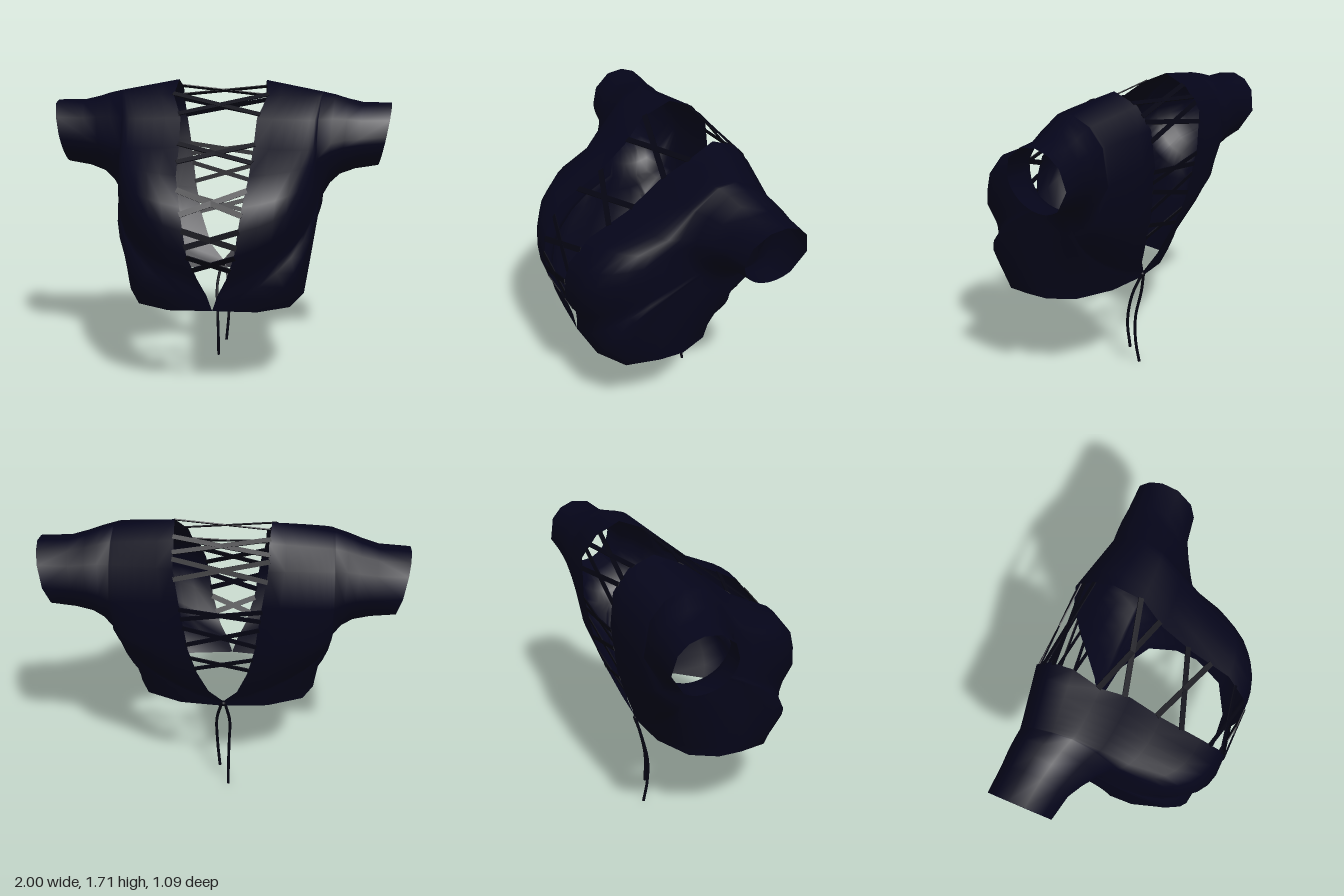
import * as THREE from 'three';

const cloth = new THREE.MeshStandardMaterial({ color: 0x05051a, side: THREE.DoubleSide });
cloth.name = 'navyCloth';
const cord = new THREE.MeshStandardMaterial({ color: 0x050512, side: THREE.DoubleSide });
cord.name = 'darkLace';

const V = (a) => new THREE.Vector3(...a);
const { lerp, clamp, smoothstep } = THREE.MathUtils;

// Left half: edges of the front opening, hem and back opening
const frontEdge = [
  [.26, 1.71, -.3], [.275, 1.635, -.14], [.22, 1.52, 0], [.21, 1.37, .18], [.2, 1.25, .41],
  [.17, 1.1, .52], [.15, .97, .545], [.13, .83, .535], [.08, .68, .455], [.03, .58, .43], [0, .49, .42],
].map(V);
const hem = [
  [.25, .483, .4], [.43, .49, .3], [.505, .525, .12], [.51, .53, -.02], [.45, .545, -.18], [.25, .556, -.29],
].map(V);
const backEdge = [
  [0, .56, -.32], [0, .6, -.335], [.08, .69, -.375], [.14, .85, -.44], [.18, 1.02, -.495],
  [.22, 1.32, -.54], [.25, 1.53, -.53], [.25, 1.65, -.44],
].map(V);
const outline = [...frontEdge, ...hem, ...backEdge];

// Sleeve rings from armhole to cuff: x top, x bottom, y top, y bottom, z back, z front,
// x shift at front, flattening of the upper front
const sleeveRings = [
  [.6, .605, 1.65, 1.04, -.5, .04, -.035, .1],
  [.67, .645, 1.632, 1.11, -.5, -.01, -.015, .07],
  [.74, .7, 1.608, 1.16, -.5, -.055, 0, .04],
  [.83, .79, 1.585, 1.19, -.495, -.1, 0, .01],
  [1, .925, 1.58, 1.21, -.495, -.125, 0, 0],
];
const angles = outline.map((p) => Math.atan2(p.z + .25, p.y - 1.36));

function ringPoint([xt, xb, yt, yb, zb, zf, shift, flat], angle) {
  const c = Math.cos(angle), s = Math.sin(angle);
  return new THREE.Vector3(
    (xt + xb) / 2 + c * (xt - xb) / 2 + shift * Math.max(0, s),
    (yt + yb) / 2 + c * (yt - yb) / 2,
    (zf + zb) / 2 + s * (zf - zb) / 2 - flat * Math.max(0, c) * Math.max(0, s));
}

// Body between the outline point p and the armhole point q: a squared-off
// quarter curve round the chest, straight over the shoulder and up the side
function bodyPoint(p, q, t) {
  const a = t * Math.PI / 2;
  const round = Math.sin(a) ** .84;
  const across = lerp(round, t, clamp((p.x - .27) / .22, 0, 1));
  const upper = smoothstep(p.y, 1.1, 1.4);
  const depth = lerp(1 - Math.cos(a) ** .84, across, p.z < -.2 ? upper : 0);
  const bust = .08 * clamp(p.z / .4, 0, 1) * clamp((1 - p.y) / .5, 0, 1) * Math.sin(t * Math.PI);
  return new THREE.Vector3(
    lerp(p.x, q.x, across),
    lerp(p.y, q.y, lerp(t, across, upper)),
    lerp(p.z, q.z, depth) + bust);
}

// Skin from the opening edge, round the body to the armhole, then out to the cuff
function halfTop(side) {
  const n = outline.length, steps = 8, rings = [];
  const armhole = angles.map((a) => ringPoint(sleeveRings[0], a));
  for (let k = 0; k < steps; k++) rings.push(outline.map((p, i) => bodyPoint(p, armhole[i], k / steps)));
  for (const r of sleeveRings) rings.push(angles.map((a) => ringPoint(r, a)));

  const pos = [], index = [];
  for (const ring of rings) for (const p of ring) pos.push(p.x * side, p.y, p.z);
  for (let k = 0; k < rings.length - 1; k++) {
    for (let i = 0; i < n; i++) {
      const j = (i + 1) % n;
      const a = k * n + i, b = k * n + j, c = a + n, d = b + n;
      if (side > 0) index.push(a, b, c, b, d, c);
      else index.push(a, c, b, b, c, d);
    }
  }
  const g = new THREE.BufferGeometry();
  g.setAttribute('position', new THREE.Float32BufferAttribute(pos, 3));
  g.setIndex(index);
  g.computeVertexNormals();
  return g;
}

// Point and direction of an edge at a given height
function edgeAt(edge, y) {
  const i = edge.findIndex((a, k) => k < edge.length - 1 && (y - a.y) * (y - edge[k + 1].y) <= 0);
  const a = edge[i], b = edge[i + 1];
  return { p: a.clone().lerp(b, (y - a.y) / (b.y - a.y)), dir: b.clone().sub(a).normalize() };
}

// Flat ribbon across an opening, from height y0 on one side to y1 on the other
function lace(edge, y0, y1, side, width) {
  const A = edgeAt(edge, y0), B = edgeAt(edge, y1);
  const p = A.p, q = B.p;
  p.x *= side;
  q.x *= -side;
  const X = q.clone().sub(p), len = X.length();
  X.normalize();
  const slope = A.dir.add(B.dir).setX(0);
  const Z = X.clone().cross(slope).normalize();
  const Y = Z.clone().cross(X);
  const g = new THREE.BoxGeometry(len + .015, width, .006);
  g.applyMatrix4(new THREE.Matrix4().makeBasis(X, Y, Z).setPosition(p.add(q).multiplyScalar(.5)));
  return g;
}

export function createModel() {
  const model = new THREE.Group();
  model.name = 'lacedTop';
  const add = (name, geometry, material) => {
    const m = new THREE.Mesh(geometry, material);
    m.name = name;
    model.add(m);
  };

  add('leftHalf', halfTop(1), cloth);
  add('rightHalf', halfTop(-1), cloth);

  // Crossed laces
  const backLoop = [...backEdge, frontEdge[0]];
  const frontPairs = [[1.64, 1.54], [1.39, 1.31], [1.18, 1.06], [.97, .88], [.82, .74]];
  const backPairs = [[1.66, 1.6], [1.57, 1.47], [1.29, 1.23], [1.17, 1.06], [.96, .88]];
  for (const side of [1, -1]) {
    for (const [a, b] of frontPairs) add('frontLace', lace(frontEdge, a, b, side, .032), cord);
    for (const [a, b] of backPairs) add('backLace', lace(backLoop, a, b, side, .026), cord);
  }

  // Knot and hanging strings at the back hem
  const strings = [
    [[.01, .58, -.33], [.04, .45, -.285], [.04, .28, -.255], [.025, .11, -.265]],
    [[-.01, .58, -.33], [-.035, .45, -.3], [-.03, .28, -.265], [-.026, .13, -.27], [-.027, 0, -.297]],
  ];
  for (const s of strings) {
    add('hangingString', new THREE.TubeGeometry(new THREE.CatmullRomCurve3(s.map(V)), 14, .009, 5), cord);
  }
  const knot = new THREE.SphereGeometry(.016, 8, 6);
  knot.translate(0, .58, -.325);
  add('knot', knot, cord);
  return model;
}
